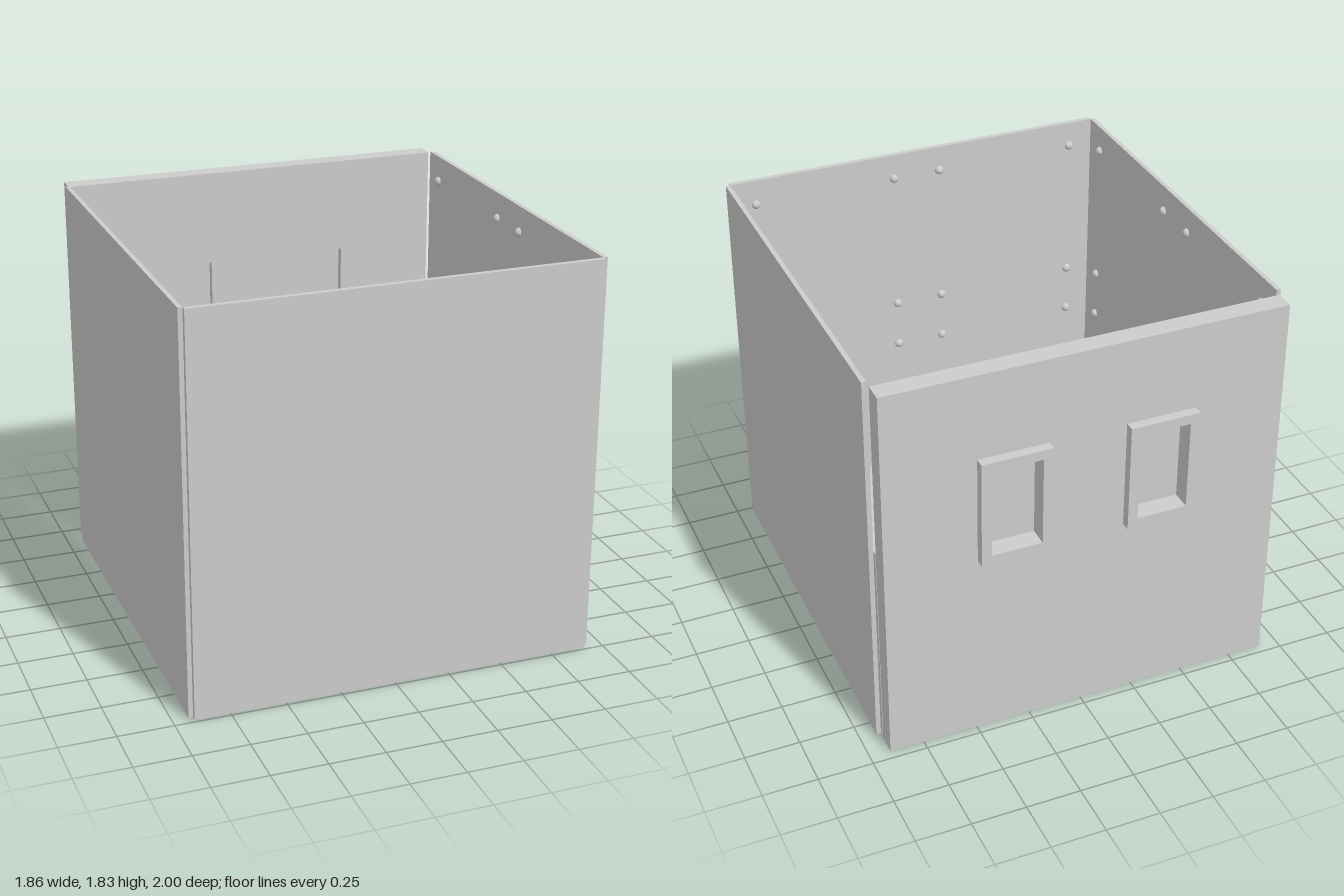
import * as THREE from 'three';

const mat = new THREE.MeshStandardMaterial({ color: 0xcccccc });

export function createModel() {
  const room = new THREE.Group();
  room.name = 'room';

  const add = (name, geometry, x = 0, y = 0, z = 0) => {
    const mesh = new THREE.Mesh(geometry, mat);
    mesh.name = name;
    mesh.position.set(x, y, z);
    room.add(mesh);
    return mesh;
  };

  // Box given by its extents on each axis
  const block = (name, [x0, x1], [y0, y1], [z0, z1]) =>
    add(name, new THREE.BoxGeometry(x1 - x0, y1 - y0, z1 - z0),
      (x0 + x1) / 2, (y0 + y1) / 2, (z0 + z1) / 2);

  const rectangle = (PathType, x0, x1, y0, y1) => new PathType([
    new THREE.Vector2(x0, y0), new THREE.Vector2(x1, y0),
    new THREE.Vector2(x1, y1), new THREE.Vector2(x0, y1),
  ]);
  const slab = (shape, depth) => new THREE.ExtrudeGeometry(shape, { depth, bevelEnabled: false });

  // Floor and the half-height inner wall
  block('floor', [-0.88, 0.907], [0.028, 0.11], [-0.866, 0.955]);
  block('innerWall', [0.824, 0.907], [0.11, 1.005], [-0.866, 0.955]);

  // Back wall with two framed windows
  const windows = [-0.34, 0.33];
  const opening = (x) => rectangle(THREE.Path, x - 0.115, x + 0.115, 0.955, 1.375);
  const backShape = rectangle(THREE.Shape, -0.913, 0.905, 0, 1.82);
  windows.forEach((x) => backShape.holes.push(opening(x)));
  add('backWall', slab(backShape, 0.091), 0, 0, -0.956);
  for (const x of windows) {
    const frame = rectangle(THREE.Shape, x - 0.16, x + 0.16, 0.91, 1.42);
    frame.holes.push(opening(x));
    add('windowFrame', slab(frame, 0.044), 0, 0, -1);
    block('windowPane', [x - 0.115, x + 0.115], [0.955, 1.375], [-0.91, -0.9]);
  }

  // Thin outer panels
  block('frontPanel', [-0.913, 0.905], [0.01, 1.83], [0.976, 1]);
  block('rightPanel', [-0.933, -0.913], [0.01, 1.83], [-0.843, 0.977]);
  block('leftPanel', [0.907, 0.928], [0.01, 1.83], [-0.843, 0.977]);

  // Round studs on the inside of each panel
  const studGeometry = new THREE.SphereGeometry(0.021, 16, 12);
  for (const y of [0.12, 0.8, 1.03, 1.71]) {
    for (const t of [-0.795, -0.115, 0.115, 0.795]) {
      add('frontStud', studGeometry, t - 0.003, y, 0.976);
      add('rightStud', studGeometry, -0.912, y, t + 0.066);
      add('leftStud', studGeometry, 0.906, y, t + 0.066);
    }
  }

  // Pipe along the foot of the inner wall
  add('pipe', new THREE.CylinderGeometry(0.058, 0.058, 1.775, 32), 0.747, 0.25, 0.043)
    .rotation.x = Math.PI / 2;

  // Row of round dials with a rim, turned to face into the room
  const dialProfile = [[0, 0.127], [0.06, 0.127], [0.075, 0.12], [0.083, 0.1], [0.083, 0]]
    .reverse().map(([r, h]) => new THREE.Vector2(r, h));
  const dialGeometry = new THREE.LatheGeometry(dialProfile, 32);
  const rimGeometry = new THREE.CylinderGeometry(0.093, 0.093, 0.014, 32);
  for (const z of [-0.273, 0.013, 0.288]) {
    add('dial', dialGeometry, 0.824, 0.6, z).rotation.z = Math.PI / 2;
    add('dialRim', rimGeometry, 0.693, 0.6, z).rotation.z = Math.PI / 2;
  }

  // Wall unit with a tapered front
  block('taperedUnitBase', [0.78, 0.824], [0.46, 0.75], [-0.768, -0.477]);
  const taper = new THREE.BoxGeometry(0.035, 0.29, 0.291);
  const p = taper.attributes.position;
  for (let i = 0; i < p.count; i++) {
    if (p.getX(i) < 0) p.setXYZ(i, p.getX(i), p.getY(i) * 0.5, p.getZ(i) * 0.5);
  }
  taper.computeVertexNormals();
  add('taperedUnitFront', taper, 0.7625, 0.605, -0.6225);

  // Control box with a small raised panel
  block('controlBox', [0.745, 0.824], [0.42, 0.78], [0.46, 0.82]);
  block('controlPanel', [0.725, 0.745], [0.6, 0.73], [0.48, 0.61]);

  return room;
}
